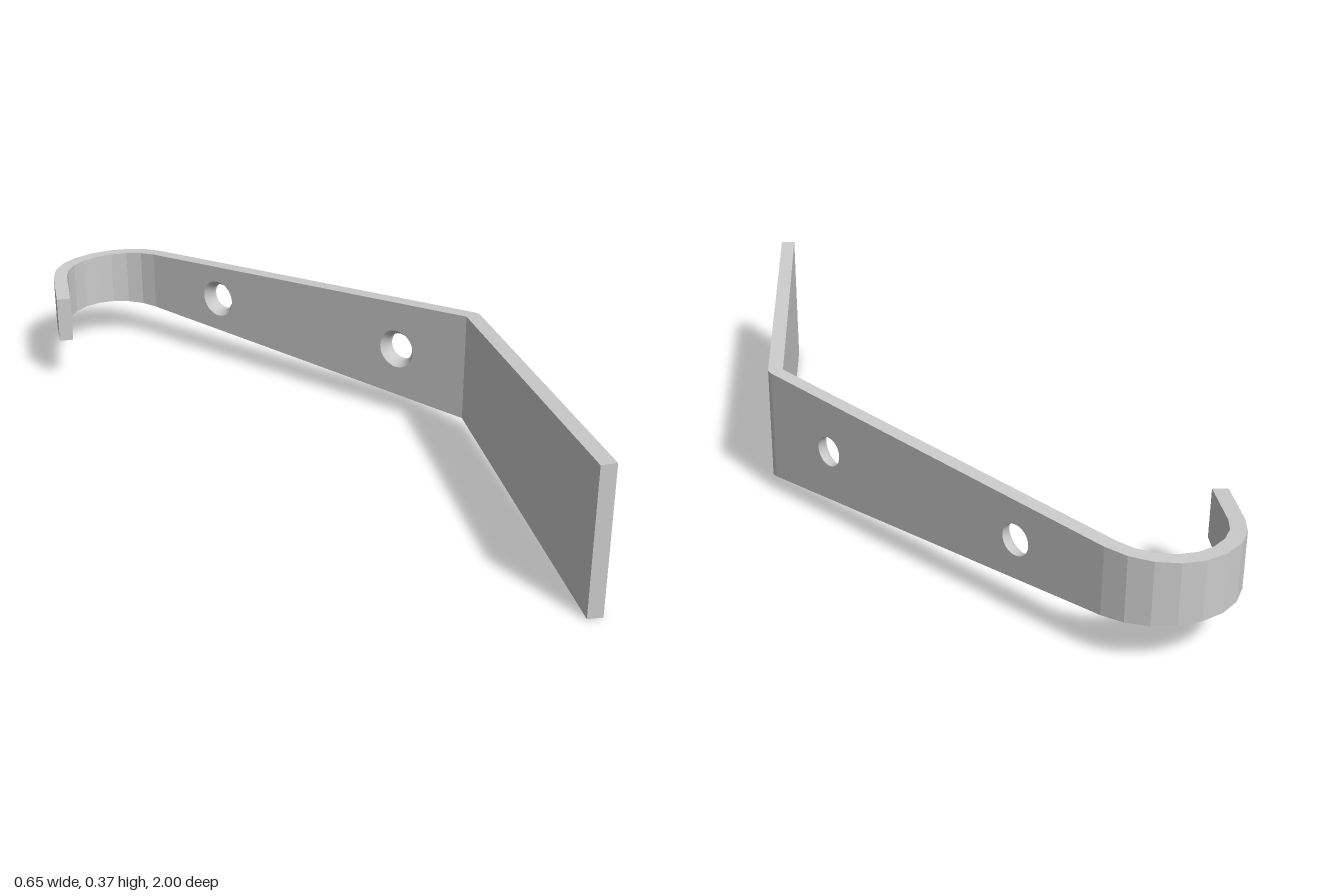
import * as THREE from 'three';

const MID = 0.1875;                       // height of the strip's centre line
const T = 0.038;                          // thickness
const XO = 0.325, XI = XO - T;            // outer and inner face of the straight part
const Z_BEND = 0.285, Z_HOOK = -0.81;     // ends of the straight part
const HOOK_R = 0.19;
const TILT = 0.729;                       // turn of the front leg, radians
const HOLES = [0.07, -0.56];
const HOLE_R = 0.039, SINK_R = 0.053;

const halfHeight = (z) => 0.0735 + 0.057 * (z + 1);

// A cross-section: outer and inner (x, z) points with half heights
function section(ox, oz, ix, iz, ho, hi) {
  return {
    ob: [ox, MID - ho, oz], ot: [ox, MID + ho, oz],
    ib: [ix, MID - hi, iz], it: [ix, MID + hi, iz],
  };
}

function buildStrip(sections, straightIndex) {
  const pos = [];
  const quad = (a, b, c, d) => pos.push(...a, ...b, ...c, ...a, ...c, ...d);
  for (let i = 0; i < sections.length - 1; i++) {
    const p = sections[i], q = sections[i + 1];
    quad(p.ot, q.ot, q.it, p.it);
    quad(p.ib, q.ib, q.ob, p.ob);
    if (i === straightIndex) continue;    // drilled faces are made separately
    quad(p.ob, q.ob, q.ot, p.ot);
    quad(q.ib, p.ib, p.it, q.it);
  }
  const s = sections[0], e = sections[sections.length - 1];
  quad(s.ib, s.ob, s.ot, s.it);
  quad(e.ob, e.ib, e.it, e.ot);
  const g = new THREE.BufferGeometry();
  g.setAttribute('position', new THREE.Float32BufferAttribute(pos, 3));
  g.computeVertexNormals();
  return g;
}

// Flat tapered face with round holes; dir = 1 faces +x, -1 faces -x
function drilledFace(dir, x, radius) {
  const a = halfHeight(Z_BEND), b = halfHeight(Z_HOOK - 0.0);
  const shape = new THREE.Shape([
    new THREE.Vector2(-dir * Z_BEND, MID - a), new THREE.Vector2(-dir * Z_HOOK, MID - b),
    new THREE.Vector2(-dir * Z_HOOK, MID + b), new THREE.Vector2(-dir * Z_BEND, MID + a),
  ]);
  for (const z of HOLES) {
    shape.holes.push(new THREE.Path().absarc(-dir * z, MID, radius, 0, Math.PI * 2, true));
  }
  return new THREE.ShapeGeometry(shape, 16).rotateY(dir * Math.PI / 2).translate(x, 0, 0);
}

export function createModel() {
  const group = new THREE.Group();
  group.name = 'bentHookBracket';
  const material = new THREE.MeshStandardMaterial({ color: 0xcccccc, flatShading: true });
  const wallMaterial = new THREE.MeshStandardMaterial({ color: 0xcccccc, side: THREE.DoubleSide });
  const add = (name, geometry, mat = material) => {
    const mesh = new THREE.Mesh(geometry, mat);
    mesh.name = name;
    group.add(mesh);
    return mesh;
  };

  const sections = [];
  const nx = Math.cos(TILT), nz = Math.sin(TILT);
  const byZ = (ox, oz, ix, iz) =>
    sections.push(section(ox, oz, ix, iz, halfHeight(oz), halfHeight(iz)));

  // Slanted front leg
  const leg = 0.922;
  const lx = XI - nz * leg, lz = Z_BEND + nx * leg;
  byZ(lx + nx * T, lz + nz * T, lx, lz);

  // Rounded outside of the bend, sharp inside
  const bendSteps = 4;
  for (let i = 0; i <= bendSteps; i++) {
    const a = TILT * (1 - i / bendSteps);
    byZ(XI + T * Math.cos(a), Z_BEND + T * Math.sin(a), XI, Z_BEND);
  }
  const straightIndex = sections.length - 1;

  // Curved hook, the taper carrying on around the curve
  const cx = XO - HOOK_R, hookSteps = 8, sweep = Math.PI - TILT;
  const inner = HOOK_R - T;
  for (let i = 0; i <= hookSteps; i++) {
    const a = sweep * i / hookSteps, c = Math.cos(a), s = Math.sin(a);
    const along = a < Math.PI / 2 ? HOOK_R * s : HOOK_R * (2 - s);
    const h = halfHeight(Z_HOOK - along);
    sections.push(section(cx + HOOK_R * c, Z_HOOK - HOOK_R * s,
      cx + inner * c, Z_HOOK - inner * s, h, h));
  }

  // Short straight tip
  const tip = 0.16, dx = -nz * tip, dz = nx * tip;
  const ox = cx - HOOK_R * nx + dx, oz = Z_HOOK - HOOK_R * nz + dz;
  const h = halfHeight(-2 - oz);
  sections.push(section(ox, oz, ox + T * nx, oz + T * nz, h, h));

  add('bentStrip', buildStrip(sections, straightIndex));
  add('outerDrilledFace', drilledFace(1, XO, HOLE_R));
  add('innerDrilledFace', drilledFace(-1, XI, SINK_R));

  // Countersunk screw hole walls
  const profile = [[HOLE_R, XO], [HOLE_R, XO - T / 2], [SINK_R, XI]];
  for (const z of HOLES) {
    const wall = new THREE.LatheGeometry(profile.map(([r, x]) => new THREE.Vector2(r, x)), 32);
    add('screwHole', wall.rotateZ(-Math.PI / 2).translate(0, MID, z), wallMaterial);
  }
  return group;
}
